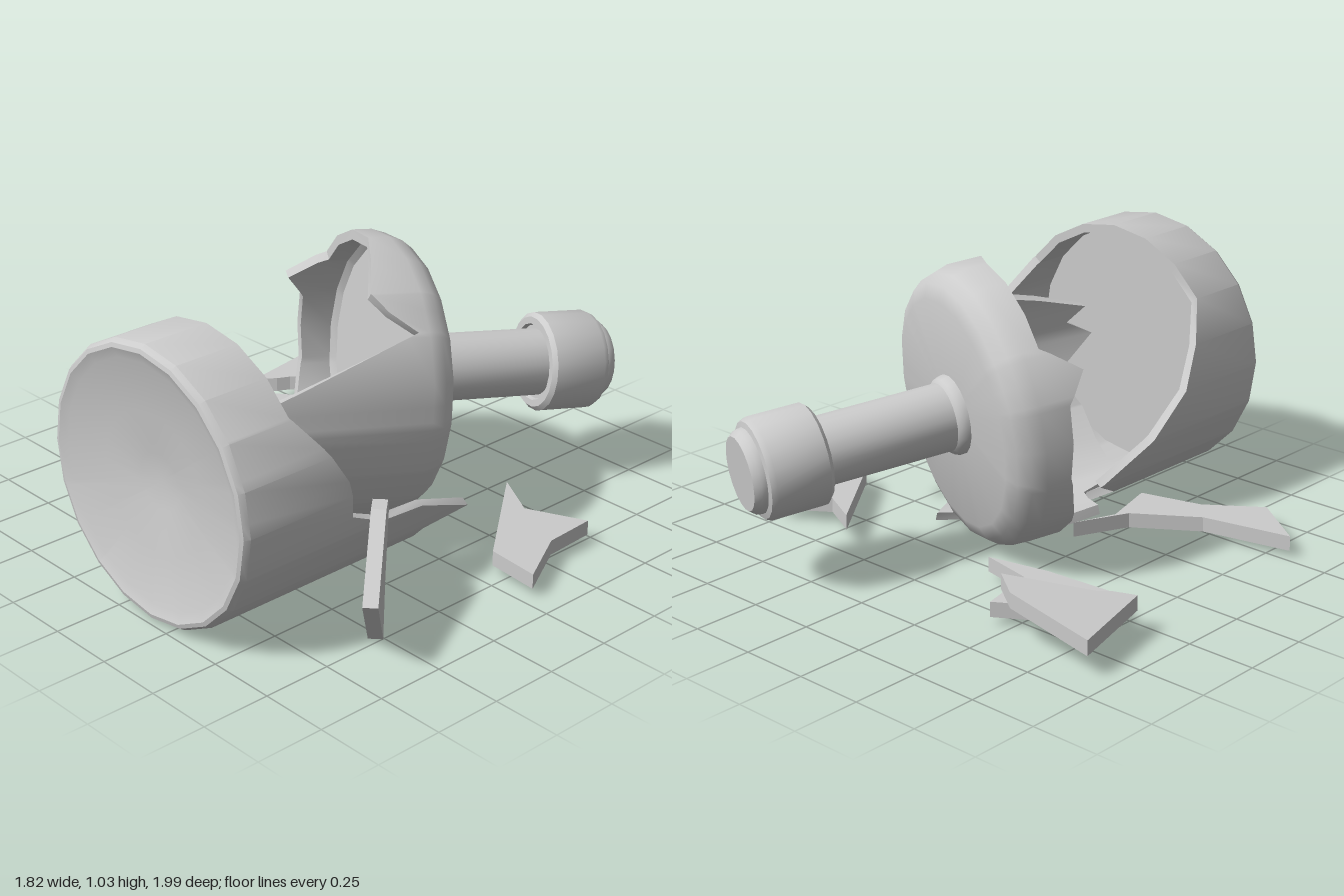
import * as THREE from 'three';
import { toCreasedNormals } from 'three/addons/utils/BufferGeometryUtils.js';

const SIDES = 20;
const material = new THREE.MeshStandardMaterial({ color: 0xcccccc, side: THREE.DoubleSide });

function addMesh(parent, name, geometry) {
  const mesh = new THREE.Mesh(geometry, material);
  mesh.name = name;
  parent.add(mesh);
  return mesh;
}

// Depth of the jagged rim at an angle; rim is a sorted list of [degrees, depth]
function rimDepth(rim, deg) {
  const n = rim.length;
  for (let i = 0; i < n; i++) {
    const [a, da] = rim[i];
    const [b0, db] = rim[(i + 1) % n];
    const b = i === n - 1 ? b0 + 360 : b0;
    const d = deg < rim[0][0] ? deg + 360 : deg;
    if (d >= a && d <= b) return da + (db - da) * (d - a) / (b - a);
  }
  return rim[0][1];
}

// Closed cup around z, swept through a section of [radius, depth]; ends at the jagged rim
function brokenCup(outer, inner, rim) {
  const step = 360 / SIDES;
  const angles = new Set(rim.map(([a]) => a));
  for (let i = 0; i < SIDES; i++) angles.add(i * step);
  const sorted = [...angles].sort((a, b) => a - b);

  const columns = sorted.map((deg) => {
    const t = THREE.MathUtils.degToRad(deg);
    const off = THREE.MathUtils.degToRad((deg % step) - step / 2);
    const k = Math.cos(Math.PI / SIDES) / Math.cos(off); // stay on the polygon side
    const edge = rimDepth(rim, deg);
    const section = [...outer, [outer.at(-1)[0], edge], [inner[0][0], edge], ...inner];
    return section.map(([r, d]) => new THREE.Vector3(r * k * Math.cos(t), r * k * Math.sin(t), d));
  });

  const pos = [];
  const tri = (a, b, c) => {
    if (a.distanceTo(b) < 1e-5 || b.distanceTo(c) < 1e-5 || c.distanceTo(a) < 1e-5) return;
    for (const p of [a, b, c]) pos.push(p.x, p.y, p.z);
  };
  columns.forEach((A, i) => {
    const B = columns[(i + 1) % columns.length];
    for (let j = 0; j < A.length - 1; j++) {
      tri(A[j], B[j], B[j + 1]);
      tri(A[j], B[j + 1], A[j + 1]);
    }
  });
  const g = new THREE.BufferGeometry();
  g.setAttribute('position', new THREE.Float32BufferAttribute(pos, 3));
  return toCreasedNormals(g, 0.6);
}

function slab(points, thickness) {
  const shape = new THREE.Shape(points.map(([x, y]) => new THREE.Vector2(x, y)));
  return new THREE.ExtrudeGeometry(shape, { depth: thickness, bevelEnabled: false });
}

// Flat shard on the ground from [x, z] corners, sloping along x
function groundShard(parent, name, corners, y0, slope) {
  const g = slab(corners.map(([x, z]) => [x, -z]), 0.055).rotateX(-Math.PI / 2);
  const p = g.attributes.position;
  for (let i = 0; i < p.count; i++) p.setY(i, p.getY(i) + y0 + slope * p.getX(i));
  g.computeVertexNormals();
  addMesh(parent, name, g);
}

export function createModel() {
  const model = new THREE.Group();
  model.name = 'brokenBottle';

  // Base half, lying with its dished bottom to the front
  const base = addMesh(model, 'bottleBase', brokenCup(
    [[0, 0.07], [0.1, 0.062], [0.25, 0.038], [0.43, 0.016], [0.465, 0.002], [0.48, 0.006], [0.492, 0.025]],
    [[0.46, 0.13], [0, 0.13]],
    [[0, 0.44], [18, 0.36], [36, 0.27], [143, 0.27], [158, 0.36], [174, 0.44], [190, 0.46],
      [198, 0.6], [200, 0.79], [216, 1.07], [225, 0.91], [247, 0.93], [255, 1.1], [271, 0.89],
      [288, 0.84], [305, 0.58], [323, 0.79], [340, 0.6]]
  ));
  base.position.set(0.155, 0.5, 0.99);
  base.rotation.y = Math.PI;

  // Shoulder half, tipped away, with long broken tongues reaching into the base
  const top = new THREE.Group();
  top.name = 'bottleTop';
  top.position.set(0.08, 0.517, -0.22);
  top.lookAt(top.position.clone().add(new THREE.Vector3(-0.355, 0.105, 0.93)));
  model.add(top);
  const shoulder = addMesh(top, 'shoulder', brokenCup(
    [[0, 0], [0.41, 0], [0.46, 0.02], [0.49, 0.06], [0.505, 0.11]],
    [[0.47, 0.09], [0.45, 0.07], [0, 0.07]],
    [[3, 0.7], [9, 0.78], [38, 0.15], [47, 0.24], [55, 0.29], [90, 0.19], [141, 0.17],
      [153, 0.3], [165, 0.22], [195, 0.2], [225, 0.25], [245, 0.2], [254, 0.2], [257, 0.48], [275, 0.5],
      [284, 0.72], [292, 0.68], [323, 0.69], [340, 0.63], [355, 0.8]]
  ));
  shoulder.position.x = 0.01;

  // Neck, foot ring and cap
  const lathe = (pts) => toCreasedNormals(
    new THREE.LatheGeometry(pts.map(([r, y]) => new THREE.Vector2(r, y)), SIDES), 0.6).rotateX(-Math.PI / 2);
  addMesh(top, 'neck', lathe([[0.143, -0.02], [0.143, 0.01], [0.135, 0.03], [0.122, 0.04], [0.122, 0.54]]));
  addMesh(top, 'cap', lathe([
    [0, 0.53], [0.135, 0.53], [0.14, 0.515], [0.165, 0.515], [0.18, 0.53], [0.18, 0.72],
    [0.17, 0.74], [0.15, 0.745], [0.147, 0.765], [0.13, 0.787], [0, 0.787]]));

  // Loose shards on the ground
  groundShard(model, 'backLeaningShard',
    [[-0.91, -0.65], [-0.57, -0.635], [-0.47, -0.57], [-0.73, -0.4], [-0.76, -0.36], [-0.83, -0.31]], 0.215, 0.148);
  groundShard(model, 'backFlatShard',
    [[-0.43, -0.58], [-0.38, -0.36], [-0.18, -0.32], [-0.41, -0.27], [-0.69, -0.25], [-0.79, -0.34],
      [-0.7, -0.41]], 0.035, 0);
  groundShard(model, 'leftBackShard',
    [[0.4, -0.44], [0.57, -0.35], [0.77, -0.46], [0.78, -0.26], [0.89, -0.05], [0.7, -0.055]], 0.08, -0.05);
  groundShard(model, 'frontFlatShard',
    [[-0.83, 0.53], [-0.5, 0.46], [-0.28, 0.31], [-0.19, 0.11], [-0.25, 0.27], [-0.19, 0.49],
      [-0.42, 0.55], [-0.61, 0.69]], 0.03, 0);

  // Shard leaning against the base
  const leaning = addMesh(model, 'leaningShard',
    slab([[0.03, 0.43], [0.1, 0.43], [0.43, 0.26], [0.2, 0.01], [0.13, 0.19], [-0.01, 0.37]], 0.05));
  leaning.position.set(0.62, 0, 0.36);
  leaning.rotation.y = -0.835;

  return model;
}
